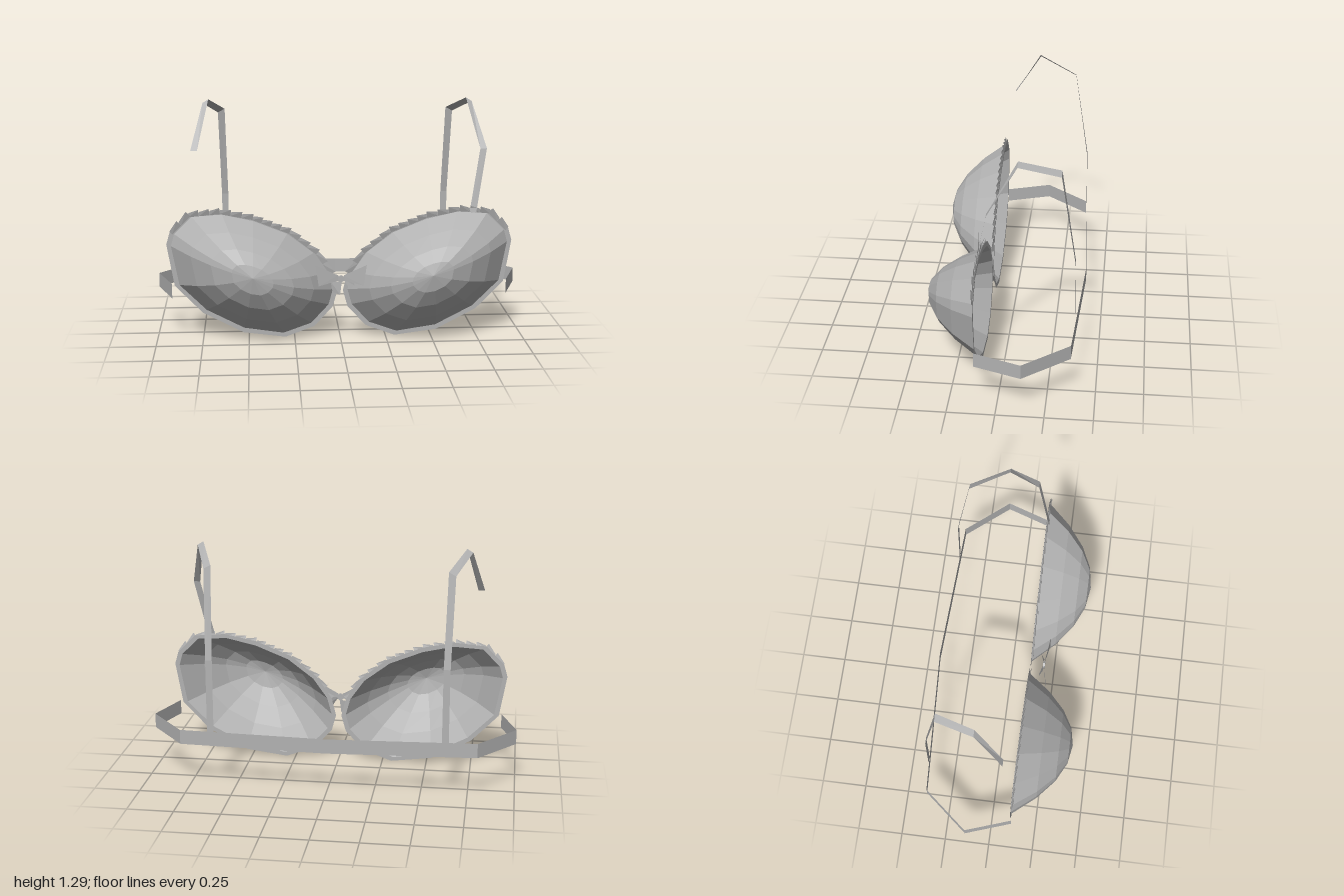
import * as THREE from 'three';

const fabric = new THREE.MeshStandardMaterial({ color: 0xb2b2b2, side: THREE.DoubleSide, flatShading: true });
fabric.name = 'greyFabric';

// Skin a surface through a list of equally long rows of [x, y, z] points
function skin(name, rows, closed = false) {
  const n = rows[0].length, index = [];
  for (let r = 0; r < rows.length - 1; r++) {
    for (let i = 0; i < (closed ? n : n - 1); i++) {
      const j = (i + 1) % n, a = r * n + i, b = r * n + j;
      index.push(a, b, b + n, a, b + n, a + n);
    }
  }
  const g = new THREE.BufferGeometry();
  g.setAttribute('position', new THREE.Float32BufferAttribute(rows.flat(2), 3));
  g.setIndex(index);
  g.computeVertexNormals();
  const mesh = new THREE.Mesh(g, fabric);
  mesh.name = name;
  return mesh;
}

// Outer outline of one cup, from the upper outer corner over the top and round
const RIM = [
  [0.94, 0.53], [0.92, 0.60], [0.82, 0.70], [0.65, 0.715], [0.47, 0.68],
  [0.27, 0.60], [0.12, 0.48], [0.04, 0.36], [0.015, 0.26], [0.04, 0.17],
  [0.14, 0.06], [0.30, 0.0], [0.53, 0.03], [0.75, 0.145], [0.90, 0.30],
];
const RIM_Z = 0.115, DEPTH = 0.292, MIDDLE = [0.475, 0.37], APEX = [0.475, 0.41];

function cup(side) {
  const group = new THREE.Group();
  group.name = side > 0 ? 'leftCup' : 'rightCup';
  const inner = RIM.map(([x, y]) => {
    const dx = x - MIDDLE[0], dy = y - MIDDLE[1], k = 1 - 0.026 / Math.hypot(dx, dy);
    return [MIDDLE[0] + dx * k, MIDDLE[1] + dy * k];
  });

  // Parabolic shell, open at the back
  const rows = [1, 0.75, 0.5, 0.25, 0.001].map((f) => inner.map(([x, y]) => [
    side * (APEX[0] + (x - APEX[0]) * f),
    APEX[1] + (y - APEX[1]) * f,
    RIM_Z + DEPTH * (1 - f * f),
  ]));
  group.add(skin('cupShell', rows, true));

  // Flat edging round the opening
  const flat = (list) => list.map(([x, y]) => [side * x, y, RIM_Z]);
  group.add(skin('cupEdging', [flat(RIM), flat(inner)], true));

  // Small overlapping ruffles along the upper edge
  for (let i = 1; i < 7; i++) {
    const [ax, ay] = RIM[i], [bx, by] = RIM[i + 1];
    const len = Math.hypot(bx - ax, by - ay), count = Math.round(len / 0.06);
    const nx = (by - ay) / len, ny = -(bx - ax) / len;
    const at = (t, out, z) => [side * (ax + (bx - ax) * t + nx * out), ay + (by - ay) * t + ny * out, z];
    for (let k = 0; k < count; k++) {
      const t0 = k / count, t1 = (k + 1) / count;
      group.add(skin('ruffle', [
        [at(t0, -0.02, 0.118), at(t1, -0.02, 0.118)],
        [at(t0 + 0.02, 0.004, 0.122), at(t1, 0.017, 0.13)],
      ]));
    }
  }
  return group;
}

// Shoulder strap: centre point and half width in x and y
const STRAP = [
  [0.722, 0.69, 0.13, 0.018, -0.004],
  [0.785, 1.03, 0.06, 0.018, 0],
  [0.722, 1.28, -0.09, 0.016, -0.01],
  [0.642, 1.20, -0.30, 0.019, -0.01],
  [0.63, 0.71, -0.375, 0.018, 0],
  [0.63, 0.31, -0.38, 0.018, 0],
];

function strap(side) {
  // The right strap hangs loose at its front end
  const path = side > 0 ? STRAP : STRAP.slice(1);
  const edge = (d) => path.map(([x, y, z, wx, wy]) => [side * (x + d * wx), y + d * wy, z]);
  return skin(side > 0 ? 'leftStrap' : 'rightStrap', [edge(-1), edge(1)]);
}

export function createModel() {
  const model = new THREE.Group();
  model.name = 'brassiere';

  for (const side of [-1, 1]) model.add(cup(side), strap(side));

  // Band running round the back
  const half = [[0.915, 0.117], [1, -0.13], [0.8, -0.37]];
  const plan = [...half, [0, -0.41], ...half.map(([x, z]) => [-x, z]).reverse()];
  model.add(skin('backBand', [0.23, 0.31].map((y) => plan.map(([x, z]) => [x, y, z]))));

  // Bow between the cups: two loops, two tails and a knot
  const bow = new THREE.Group();
  bow.name = 'bow';
  for (const s of [-1, 1]) {
    bow.add(skin('bowLoop', [
      [[s * 0.015, 0.365, 0.195], [s * 0.138, 0.425, 0.215]],
      [[s * 0.015, 0.335, 0.195], [s * 0.122, 0.31, 0.215]],
    ]));
  }
  bow.add(skin('bowTail', [
    [[-0.055, 0.325, 0.17], [0.005, 0.33, 0.19]],
    [[-0.045, 0.265, 0.17], [-0.005, 0.255, 0.19]],
  ]));
  bow.add(skin('bowTail', [
    [[0.01, 0.345, 0.19], [0.06, 0.35, 0.17]],
    [[0.05, 0.285, 0.19], [0.075, 0.30, 0.17]],
  ]));
  const knot = new THREE.Mesh(new THREE.CylinderGeometry(0.02, 0.02, 0.012, 6), fabric);
  knot.name = 'bowKnot';
  knot.rotation.x = Math.PI / 2;
  knot.position.set(0, 0.345, 0.193);
  bow.add(knot);
  model.add(bow);

  return model;
}
